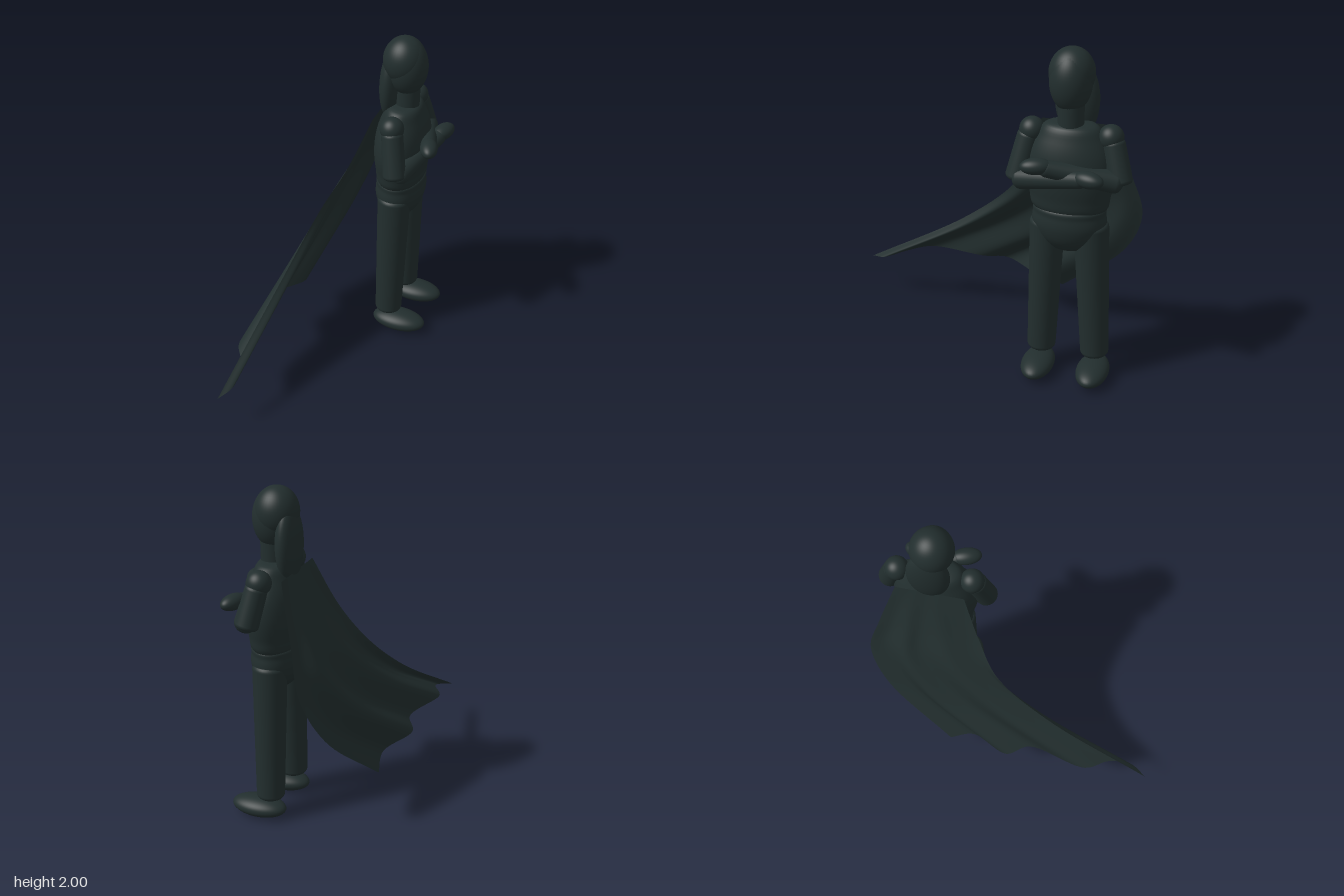
import * as THREE from 'three';

const slate = new THREE.MeshStandardMaterial({ color: 0x222e2e, side: THREE.DoubleSide });
slate.name = 'dark slate';

const V = (x, y, z) => new THREE.Vector3(x, y, z);

function add(parent, name, geometry) {
  const mesh = new THREE.Mesh(geometry, slate);
  mesh.name = name;
  parent.add(mesh);
  return mesh;
}

// Ellipsoid from centre and half sizes
function ellipsoid(parent, name, centre, half) {
  const mesh = add(parent, name, new THREE.SphereGeometry(1, 40, 28));
  mesh.position.copy(centre);
  mesh.scale.copy(half);
  return mesh;
}

// Tapered limb from a to b with rounded rims
function limb(parent, name, a, b, ra, rb, rim) {
  const length = a.distanceTo(b);
  const profile = [new THREE.Vector2(0, 0)];
  for (let i = 0; i <= 6; i++) {
    const t = (i / 6) * Math.PI / 2;
    profile.push(new THREE.Vector2(ra - rim + rim * Math.sin(t), rim - rim * Math.cos(t)));
  }
  for (let i = 0; i <= 6; i++) {
    const t = (i / 6) * Math.PI / 2;
    profile.push(new THREE.Vector2(rb - rim + rim * Math.cos(t), length - rim + rim * Math.sin(t)));
  }
  profile.push(new THREE.Vector2(0, length));
  const mesh = add(parent, name, new THREE.LatheGeometry(profile, 32));
  mesh.position.copy(a);
  mesh.quaternion.setFromUnitVectors(V(0, 1, 0), b.clone().sub(a).normalize());
  return mesh;
}

// Smooth turned body, flattened front to back
function body(parent, name, points, depth) {
  const curve = new THREE.SplineCurve(points.map(([r, y]) => new THREE.Vector2(r, y)));
  const profile = curve.getPoints(36).map((p) => p.setX(Math.max(p.x, 0)));
  const mesh = add(parent, name, new THREE.LatheGeometry(profile, 48));
  mesh.scale.z = depth;
  return mesh;
}

// Windblown cape: two side edges, a wavy hem, folds growing towards the hem
function capeGeometry() {
  const right = new THREE.CatmullRomCurve3([
    V(0.36, 1.53, 0.07), V(0.21, 1.22, 0.03), V(0.04, 0.98, 0), V(-0.3, 0.67, 0.09), V(-0.93, 0.24, 0.345)]);
  const left = new THREE.CatmullRomCurve3([
    V(0.7, 1.53, -0.14), V(0.735, 1.2, -0.275), V(0.75, 0.93, -0.365), V(0.6, 0.63, -0.39), V(0.17, 0.24, -0.31)]);
  const hem = new THREE.CatmullRomCurve3([
    V(-0.93, 0.24, 0.345), V(-0.81, 0.275, 0.338), V(-0.7, 0.33, 0.24), V(-0.62, 0.345, 0.1),
    V(-0.27, 0.365, -0.04), V(-0.19, 0.34, -0.17), V(0.06, 0.3, -0.205), V(0.17, 0.24, -0.31)]);
  const nu = 70, nv = 40, positions = [], index = [];
  for (let j = 0; j <= nv; j++) {
    const v = j / nv;
    for (let i = 0; i <= nu; i++) {
      const u = i / nu;
      const p = right.getPoint(v).lerp(left.getPoint(v), u);
      const fold = hem.getPoint(u).sub(right.getPoint(1).lerp(left.getPoint(1), u));
      p.addScaledVector(fold, Math.pow(v, 1.1));
      positions.push(p.x, p.y, p.z);
      if (i < nu && j < nv) {
        const k = j * (nu + 1) + i, n = k + nu + 1;
        index.push(k, k + 1, n, k + 1, n + 1, n);
      }
    }
  }
  const geometry = new THREE.BufferGeometry();
  geometry.setAttribute('position', new THREE.Float32BufferAttribute(positions, 3));
  geometry.setIndex(index);
  geometry.computeVertexNormals();
  return geometry;
}

export function createModel() {
  const model = new THREE.Group();
  model.name = 'capedFigure';

  // The figure stands to one side, turned towards its left
  const figure = new THREE.Group();
  figure.name = 'figure';
  figure.position.set(0.596, 0, 0.074);
  figure.rotation.y = 0.56;
  model.add(figure);

  // Head, hair and neck
  ellipsoid(figure, 'head', V(-0.006, 1.855, -0.012), V(0.127, 0.145, 0.126));
  ellipsoid(figure, 'face', V(-0.006, 1.815, 0.01), V(0.118, 0.173, 0.119));
  ellipsoid(figure, 'longHair', V(0.01, 1.68, -0.088), V(0.125, 0.23, 0.066));
  limb(figure, 'neck', V(0, 1.53, 0.015), V(0, 1.7, 0.015), 0.072, 0.072, 0.01);

  // Torso and pelvis
  body(figure, 'torso', [[0, 1.06], [0.194, 1.068], [0.23, 1.16], [0.249, 1.28],
    [0.235, 1.4], [0.19, 1.5], [0.135, 1.57], [0, 1.58]], 0.645);
  body(figure, 'pelvis', [[0, 0.8], [0.1, 0.825], [0.175, 0.89], [0.21, 0.97],
    [0.207, 1.04], [0.188, 1.09], [0, 1.105]], 0.69);

  for (const side of [-1, 1]) {
    const label = side < 0 ? 'right' : 'left';
    // Legs and feet
    limb(figure, label + 'Leg', V(side * 0.16 + 0.009, 0.135, 0.002), V(side * 0.125, 0.99, 0), 0.083, 0.1, 0.03);
    ellipsoid(figure, label + 'Foot', V(side * 0.164 + 0.012, 0.065, 0.076), V(0.095, 0.06, 0.17));
    // Folded arms, the left one held a little higher
    const elbowY = side < 0 ? 1.235 : 1.275;
    const handY = side < 0 ? 1.335 : 1.38;
    ellipsoid(figure, label + 'Shoulder', V(side * 0.22, 1.513, 0), V(0.071, 0.071, 0.071));
    limb(figure, label + 'UpperArm', V(side * 0.232, 1.5, 0.005), V(side * 0.294, elbowY - 0.012, 0.053), 0.064, 0.068, 0.025);
    const elbow = V(side * 0.3, elbowY, 0.055), wrist = V(side * -0.13, handY, 0.2);
    limb(figure, label + 'Forearm', elbow, wrist, 0.065, 0.048, 0.044);
    const hand = ellipsoid(figure, label + 'Hand', V(side * -0.143, handY + 0.005, 0.205), V(0.09, 0.046, 0.052));
    hand.rotation.y = side * 0.3;
  }

  add(model, 'cape', capeGeometry());
  return model;
}
